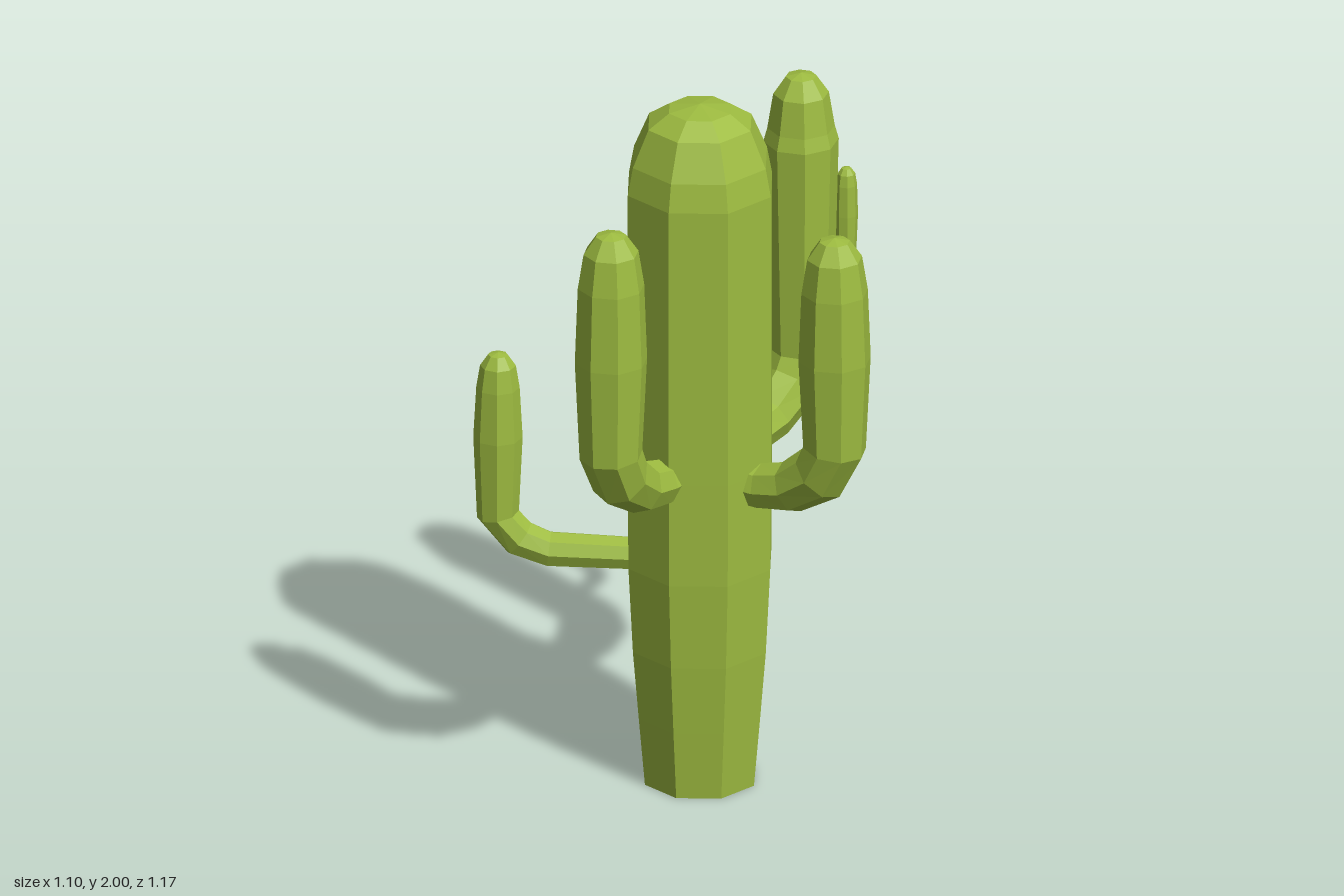
import * as THREE from 'three';

const SIDES = 8;
const TRUNK = [0.02, 0.055];

// Sweeps an octagon along a path of [distance outward, height, radius]
// lying in the vertical plane that runs from `from` towards `to` (x, z).
function sweep(from, to, path) {
  const d = new THREE.Vector3(to[0] - from[0], 0, to[1] - from[1]).normalize();
  const side = new THREE.Vector3(d.z, 0, -d.x);
  const pos = [], index = [];
  path.forEach(([out, y, r], i) => {
    const a = path[Math.max(i - 1, 0)], b = path[Math.min(i + 1, path.length - 1)];
    const len = Math.hypot(b[0] - a[0], b[1] - a[1]) || 1;
    const n = d.clone().multiplyScalar((b[1] - a[1]) / len);
    n.y = -(b[0] - a[0]) / len;
    for (let j = 0; j < SIDES; j++) {
      const t = (j / SIDES) * Math.PI * 2;
      const p = new THREE.Vector3(from[0], y, from[1])
        .addScaledVector(d, out)
        .addScaledVector(n, r * Math.cos(t))
        .addScaledVector(side, r * Math.sin(t));
      pos.push(p.x, p.y, p.z);
      if (i === 0) continue;
      const k = (j + 1) % SIDES, lo = (i - 1) * SIDES, hi = i * SIDES;
      if (path[i - 1][2] > 0) index.push(lo + j, lo + k, hi + k);
      if (r > 0) index.push(lo + j, hi + k, hi + j);
    }
  });
  const g = new THREE.BufferGeometry();
  g.setAttribute('position', new THREE.Float32BufferAttribute(pos, 3));
  g.setIndex(index);
  g.computeVertexNormals();
  return g;
}

// Rounded tip of an upright stem
const tip = (d, top, r) => [
  [d, top - 1.6 * r, r * 0.92],
  [d, top - 0.6 * r, r * 0.76],
  [d, top - 0.1 * r, r * 0.42],
  [d, top, 0],
];

// Thick arm: short curved root, swelling upright stem, rounded tip
const thickArm = (d, y, top, bellyY, bellyR) => [
  [0.14, y, 0], [0.14, y, 0.066],
  [d - 0.23, y, 0.066],
  [d - 0.14, y + 0.02, 0.072],
  [d - 0.045, y + 0.085, 0.083],
  [d, y + 0.17, 0.087],
  [d, bellyY, bellyR],
  ...tip(d, top, 0.1),
];

export function createModel() {
  const group = new THREE.Group();
  const material = new THREE.MeshStandardMaterial({ color: 0x9dbb40, flatShading: true });
  const add = (name, geometry) => {
    const mesh = new THREE.Mesh(geometry, material);
    mesh.name = name;
    group.add(mesh);
    return mesh;
  };

  // Trunk, tapering to the ground with a domed top
  const profile = [
    [0, 0], [0.16, 0], [0.178, 0.2], [0.195, 0.4], [0.208, 0.65], [0.21, 0.95],
    [0.21, 1.76], [0.195, 1.84], [0.15, 1.945], [0.09, 1.985], [0, 2],
  ].map(([r, y]) => new THREE.Vector2(r, y));
  add('trunk', new THREE.LatheGeometry(profile, SIDES)).position.set(TRUNK[0], 0, TRUNK[1]);

  // Thick arms
  add('frontArm', sweep(TRUNK, [-0.055, 0.485], thickArm(0.435, 0.95, 1.78, 1.4, 0.1)));
  add('leftArm', sweep(TRUNK, [0.455, 0.13], thickArm(0.438, 0.915, 1.71, 1.35, 0.1)));
  add('backArm', sweep(TRUNK, [0.135, -0.367], thickArm(0.435, 0.95, 1.94, 1.74, 0.103)));

  // Thin, low arm
  add('rightArm', sweep(TRUNK, [-0.49, 0.255], [
    [0.14, 0.658, 0], [0.14, 0.658, 0.046],
    [0.41, 0.668, 0.05], [0.49, 0.7, 0.054], [0.548, 0.77, 0.058],
    [0.548, 1.0, 0.067], ...tip(0.548, 1.25, 0.064),
  ]));

  // Small shoot growing from the back arm
  add('smallShoot', sweep([0.135, -0.367], [0.185, -0.555], [
    [0.07, 1.253, 0], [0.07, 1.253, 0.02],
    [0.125, 1.255, 0.022], [0.165, 1.275, 0.025], [0.192, 1.325, 0.028],
    [0.194, 1.45, 0.032], ...tip(0.194, 1.59, 0.032),
  ]));

  return group;
}
